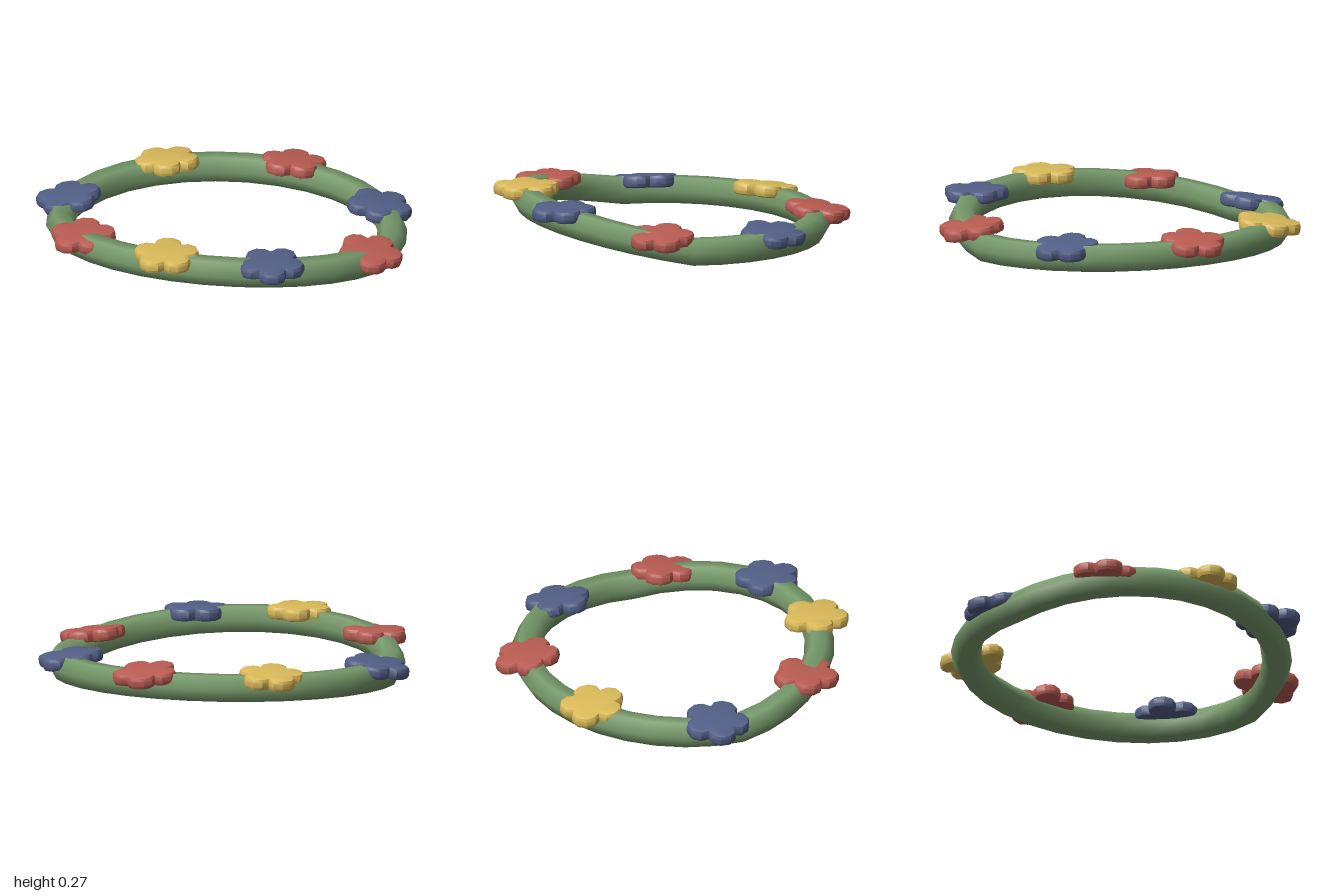
import * as THREE from 'three';
import { toCreasedNormals } from 'three/addons/utils/BufferGeometryUtils.js';

const mat = (color) => new THREE.MeshStandardMaterial({ color });
const rad = THREE.MathUtils.degToRad;

// Oval hexagonal tube, flat at the back and rising towards the front
function ringGeometry() {
  const N = 32, S = 6, A = 0.85, B = 0.73, R = 0.076;
  const pos = [], idx = [];
  for (let i = 0; i < N; i++) {
    const t = rad(6.5) + (i / N) * Math.PI * 2;
    const x = 0.01 + A * Math.cos(t), z = B * Math.sin(t);
    const n = new THREE.Vector2(Math.cos(t) / A, Math.sin(t) / B).normalize();
    const y = 0.066 + Math.max(0, z - 0.08) * 0.185;
    for (let j = 0; j < S; j++) {
      const p = (j / S) * Math.PI * 2, r = R * Math.cos(p);
      pos.push(x + n.x * r, y + R * Math.sin(p), z + n.y * r);
      const k = (j + 1) % S, m = ((i + 1) % N) * S;
      const a = i * S + j, b = i * S + k, c = m + j, d = m + k;
      idx.push(a, b, c, b, d, c);
    }
  }
  const g = new THREE.BufferGeometry();
  g.setAttribute('position', new THREE.Float32BufferAttribute(pos, 3));
  g.setIndex(idx);
  g.computeVertexNormals();
  return g;
}

// Five-petalled flower with rounded rim, lying flat and centred on its origin
function flowerGeometry() {
  const bevel = 0.02, pts = [];
  for (let k = 0; k < 5; k++) {
    for (const [deg, r] of [[-36, 0.112], [-20, 0.153], [-8, 0.167], [8, 0.167], [20, 0.153]]) {
      const a = rad(k * 72 + deg);
      pts.push(new THREE.Vector2((r - bevel) * Math.cos(a), (r - bevel) * Math.sin(a)));
    }
  }
  const g = new THREE.ExtrudeGeometry(new THREE.Shape(pts), {
    depth: 0.026, bevelThickness: 0.02, bevelSize: bevel, bevelSegments: 2,
  });
  g.translate(0, 0, -0.013);
  g.rotateX(-Math.PI / 2);
  return toCreasedNormals(g, 0.7);
}

export function createModel() {
  const group = new THREE.Group();
  const ring = new THREE.Mesh(ringGeometry(), mat(0x76996a));
  ring.name = 'wreathRing';
  group.add(ring);

  const colors = { red: mat(0xb95c52), yellow: mat(0xd9b958), blue: mat(0x525f86) };
  const geo = flowerGeometry();
  // colour, x, y, z, petal turn and outward tilt in degrees
  const flowers = [
    ['yellow', -0.455, 0.115, -0.6, 4, 8],
    ['red', 0.175, 0.115, -0.73, -25, 9],
    ['blue', 0.72, 0.11, -0.365, 7, 8],
    ['red', 0.82, 0.137, 0.24, -3, 8],
    ['blue', 0.41, 0.213, 0.655, 2, 1],
    ['yellow', -0.125, 0.235, 0.72, -27, 0],
    ['red', -0.62, 0.18, 0.49, -22, 2],
    ['blue', -0.835, 0.11, -0.07, -33, 9],
  ];
  for (const [color, x, y, z, turn, tilt] of flowers) {
    const flower = new THREE.Mesh(geo, colors[color]);
    flower.name = color + 'Flower';
    flower.position.set(x, y, z);
    const axis = new THREE.Vector3(z, 0, -x).normalize();
    flower.quaternion.setFromAxisAngle(axis, rad(tilt));
    flower.rotateY(-rad(turn));
    group.add(flower);
  }
  return group;
}
